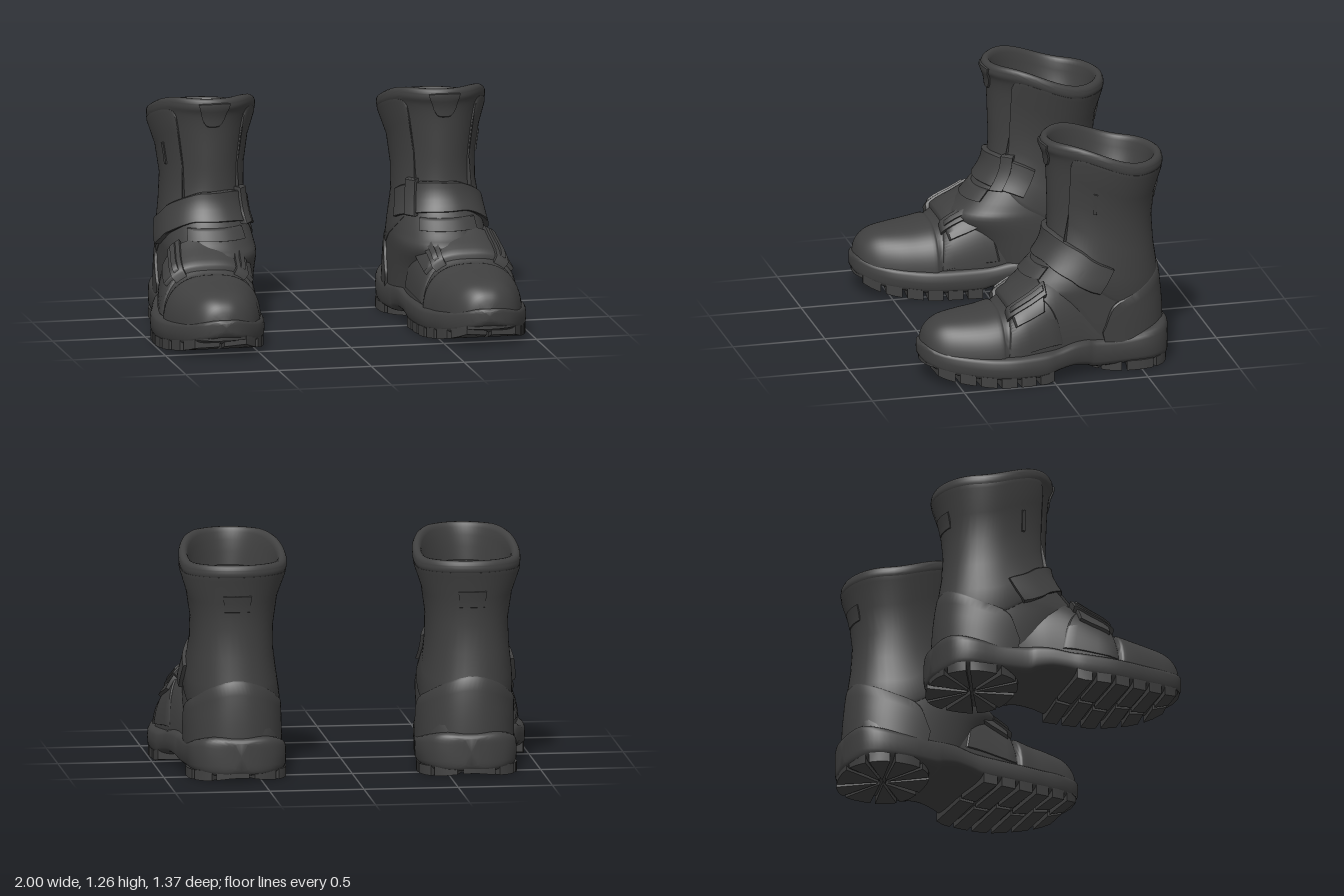
import * as THREE from 'three';
import { toCreasedNormals } from 'three/addons/utils/BufferGeometryUtils.js';

const RAD = Math.PI / 180;
const pow = (v, e) => Math.sign(v) * Math.abs(v) ** e;
const mix = (a, b, t) => a + (b - a) * t;
const smooth = (v, a, b) => THREE.MathUtils.smoothstep(v, a, b);

// Smooth curve through table rows, column by column
function spline(rows, sub) {
  const out = [], last = rows.length - 1;
  for (let i = 0; i < last; i++) {
    const a = rows[Math.max(i - 1, 0)], b = rows[i], c = rows[i + 1], d = rows[Math.min(i + 2, last)];
    for (let s = 0; s < sub; s++) {
      const t = s / sub;
      out.push(b.map((v, k) => {
        const cubic = 3 * (v - c[k]) + d[k] - a[k];
        const square = 2 * a[k] - 5 * v + 4 * c[k] - d[k];
        return v + 0.5 * t * (c[k] - a[k] + t * (square + t * cubic));
      }));
    }
  }
  out.push(rows[last]);
  return out;
}

// Row of a table at a value of its ascending first column
function lookup(table, v) {
  let i = 1;
  while (i < table.length - 1 && table[i][0] < v) i++;
  const a = table[i - 1], b = table[i];
  const t = THREE.MathUtils.clamp((v - a[0]) / (b[0] - a[0] || 1), 0, 1);
  return a.map((x, k) => mix(x, b[k], t));
}

// Closed solid through rings of points, mirrored by side and always facing out
function loft(rings, side, crease = 0.7) {
  const n = rings[0].length, pos = [], idx = [];
  rings.forEach(r => r.forEach(p => pos.push(p[0] * side, p[1], p[2])));
  for (let i = 0; i < rings.length - 1; i++) {
    for (let j = 0; j < n; j++) {
      const a = i * n + j, b = i * n + (j + 1) % n;
      idx.push(a, b, b + n, a, b + n, a + n);
    }
  }
  [0, rings.length - 1].forEach(i => {
    const mid = [0, 1, 2].map(k => rings[i].reduce((s, p) => s + p[k], 0) / n), m = pos.length / 3;
    pos.push(mid[0] * side, mid[1], mid[2]);
    for (let j = 0; j < n; j++) {
      const a = i * n + j, b = i * n + (j + 1) % n;
      idx.push(...(i ? [m, a, b] : [m, b, a]));
    }
  });
  let volume = 0;
  const P = k => new THREE.Vector3().fromArray(pos, k * 3);
  for (let i = 0; i < idx.length; i += 3) {
    volume += P(idx[i]).dot(P(idx[i + 1]).cross(P(idx[i + 2])));
  }
  if (volume < 0) idx.reverse();
  const g = new THREE.BufferGeometry();
  g.setAttribute('position', new THREE.Float32BufferAttribute(pos, 3));
  g.setIndex(idx);
  return toCreasedNormals(g, crease);
}

// Shaft: y, back z, front z, inner x, outer x
const shaftRows = spline([
  [0.12, -0.655, 0.00, 0.37, 0.86], [0.30, -0.65, 0.08, 0.37, 0.865], [0.42, -0.64, 0.17, 0.372, 0.865],
  [0.48, -0.632, 0.125, 0.38, 0.865], [0.55, -0.62, 0.06, 0.395, 0.855], [0.62, -0.61, 0.00, 0.41, 0.845],
  [0.70, -0.60, -0.04, 0.415, 0.835], [0.80, -0.598, -0.05, 0.415, 0.83], [0.90, -0.605, -0.047, 0.405, 0.842],
  [1.00, -0.628, -0.042, 0.38, 0.868], [1.06, -0.648, -0.032, 0.355, 0.89], [1.095, -0.665, -0.014, 0.338, 0.902],
  [1.125, -0.663, -0.014, 0.338, 0.902]], 4);

// Point on the shaft: angle from the front towards the outside, height, offset
function onShaft(a, y, off) {
  const [, zb, zf, xi, xo] = lookup(shaftRows, y), c = Math.cos(a), s = Math.sin(a);
  const up = smooth(y, 0.5, 0.9), e = 0.88 + 0.1 * up;
  const x = (xi + xo) / 2 + ((xo - xi) / 2 + off) * pow(s, e) * (1 - 0.12 * c * up);
  const z = (zb + zf) / 2 + ((zf - zb) / 2 + off) * pow(c, e);
  return [x, y + 0.11 * smooth(z, -0.52, -0.1) * smooth(y, 0.75, 1.1), z];
}

// Foot: z, centre x, half width, top y
const footRows = spline([
  [-0.655, 0.61, 0.08, 0.30], [-0.60, 0.61, 0.18, 0.38], [-0.45, 0.61, 0.235, 0.40], [-0.25, 0.63, 0.24, 0.45],
  [-0.12, 0.655, 0.245, 0.53], [0.00, 0.675, 0.255, 0.53], [0.10, 0.69, 0.26, 0.47], [0.18, 0.70, 0.262, 0.425],
  [0.25, 0.70, 0.257, 0.375], [0.275, 0.70, 0.264, 0.376], [0.35, 0.705, 0.25, 0.362], [0.45, 0.705, 0.225, 0.35],
  [0.55, 0.708, 0.187, 0.335], [0.61, 0.71, 0.147, 0.307], [0.648, 0.71, 0.10, 0.265], [0.667, 0.71, 0.03, 0.20]], 4);

// Point on the foot: angle from the outside over the top, z, offset
function onFoot(t, z, off) {
  const [, cx, hw, top] = lookup(footRows, z);
  return [cx + (hw + off) * pow(Math.cos(t), 0.78), 0.1 + (top - 0.1 + off) * pow(Math.sin(t), 0.78), z];
}

// Sole: z, inner x, outer x, bottom y, top y
const soleRows = spline([
  [-0.688, 0.57, 0.65, 0.06, 0.20], [-0.675, 0.485, 0.735, 0.035, 0.22], [-0.635, 0.41, 0.815, 0.025, 0.235],
  [-0.55, 0.36, 0.865, 0.022, 0.22], [-0.40, 0.345, 0.878, 0.022, 0.195], [-0.25, 0.362, 0.895, 0.022, 0.20],
  [-0.20, 0.372, 0.91, 0.04, 0.205], [-0.12, 0.385, 0.935, 0.055, 0.20], [-0.03, 0.395, 0.962, 0.045, 0.18],
  [0.05, 0.40, 0.985, 0.022, 0.175], [0.20, 0.41, 0.998, 0.022, 0.17], [0.31, 0.425, 0.985, 0.026, 0.17],
  [0.40, 0.45, 0.96, 0.035, 0.175], [0.50, 0.485, 0.925, 0.05, 0.185], [0.58, 0.535, 0.885, 0.07, 0.195],
  [0.635, 0.585, 0.84, 0.095, 0.205], [0.668, 0.635, 0.785, 0.12, 0.21], [0.682, 0.685, 0.735, 0.145, 0.195]], 4);

const circle = (n, fn) => Array.from({ length: n }, (_, j) => fn(j / n * Math.PI * 2));

export function createModel() {
  const model = new THREE.Group();
  const charcoal = new THREE.MeshStandardMaterial({ color: 0x404040 });
  charcoal.name = 'charcoal';

  [['leftBoot', 1], ['rightBoot', -1]].forEach(([name, side]) => {
    const boot = new THREE.Group();
    boot.name = name;
    model.add(boot);
    const add = (part, rings, crease) => {
      const mesh = new THREE.Mesh(loft(rings, side, crease), charcoal);
      mesh.name = part;
      boot.add(mesh);
    };
    // Raised patch on a surface; rows hold both edges: angle, place, angle, place
    const patch = (part, fn, rows, off, sub = 6) => {
      const steps = [0, 0.03, 0.2, 0.4, 0.6, 0.8, 0.97, 1];
      add(part, spline(rows, sub).map(([a, p, b, q]) => {
        const at = (v, o) => fn(mix(a, b, v) * RAD, mix(p, q, v), o);
        const outer = steps.map((v, i) => at(v, i % 7 ? off : off - 0.007));
        const inner = steps.map(v => at(v, -0.03)).reverse();
        return [...outer, ...inner];
      }));
    };
    const box = (a, b, p, q) => [0, 1, 2, 3].map(i => [mix(a, b, i / 3), p, mix(a, b, i / 3), q]);

    // Hollow shaft with a rolled rim and an inner floor
    const stations = [...shaftRows.map(r => [r[0], 0]), [1.138, -0.006], [1.146, -0.018], [1.146, -0.03],
      [1.138, -0.042], [1.12, -0.049], [1.08, -0.05], [1.03, -0.04], [0.98, -0.04]];
    add('shaft', stations.map(([y, off]) => circle(64, a => onShaft(a, y, off))), 0.9);

    // Foot with a toe cap step
    add('foot', footRows.map(r => Array.from({ length: 33 }, (_, j) => onFoot(j / 32 * Math.PI, r[0], 0))), 0.9);

    // Sole with a raised arch
    add('sole', soleRows.map(([z, xi, xo, yb, yt]) => circle(32, a => [
      (xi + xo) / 2 + (xo - xi) / 2 * pow(Math.cos(a), 0.4),
      (yb + yt) / 2 + (yt - yb) / 2 * pow(Math.sin(a), 0.45), z])), 0.9);

    // Tread blocks: flat polygon pushed down to the ground
    const lug = (part, pts) => add(part, [0.03, -0.025].map(dy => pts.map(([x, z]) =>
      [x, Math.max(0, lookup(soleRows, z)[3] + dy), z])), 0.3);
    for (let i = 0; i < 6; i++) {
      const z = 0.01 + i * 0.105, w = 0.08;
      [1, 2].forEach(edge => {
        const out = edge === 1 ? -1 : 1, skew = edge === 1 ? 0.025 : -0.01;
        const xAt = zz => lookup(soleRows, zz)[edge] - out * 0.004;
        const mid = 0.69 + out * 0.012 + (i % 2 ? 0.03 : -0.03), far = z + skew + w;
        lug('foreTread', [[mid, z], [xAt(z + skew), z + skew], [xAt(far - w / 2), far - w / 2], [xAt(far), far], [mid, z + w]]);
      });
    }
    for (let i = 0; i < 10; i++) {
      const at = (deg, r) => [0.612 + 0.264 * r * pow(Math.cos(deg * RAD), 0.8),
        Math.min(-0.225, -0.455 + 0.226 * r * pow(Math.sin(deg * RAD), 0.8))];
      const a = i * 36 + 12;
      lug('heelTread', [at(a + 15, 0.1), ...[0, 7.5, 15, 22.5, 30].map(d => at(a + d, 1))]);
    }

    // Heel counter and overlapping shaft panel
    patch('heelCounter', onShaft, [[88, 0.22, 88, 0.15], [100, 0.36, 98, 0.15], [125, 0.43, 125, 0.15],
      [155, 0.50, 155, 0.15], [180, 0.53, 180, 0.15], [205, 0.50, 205, 0.15], [235, 0.43, 235, 0.15],
      [260, 0.36, 262, 0.15], [272, 0.22, 272, 0.15]], 0.014);
    patch('shaftPanel', onShaft, [[48, 1.05, 44, 0.62], [56, 1.08, 52, 0.60], [90, 1.085, 90, 0.46], [115, 1.085, 115, 0.36],
      [180, 1.085, 180, 0.36], [245, 1.085, 245, 0.36], [270, 1.085, 270, 0.46], [304, 1.08, 308, 0.60],
      [312, 1.05, 316, 0.62]], 0.009, 8);

    // Small shaft details: tongue tab, side loop, back pull
    patch('tongueTab', onShaft, [[-19, 1.12, -14, 1.04], [-10, 1.125, -9, 1.015], [0, 1.125, 0, 1.01],
      [10, 1.125, 9, 1.015], [19, 1.12, 14, 1.04]], 0.009);
    patch('sideLoop', onShaft, box(74, 78, 0.945, 0.855), 0.017, 2);
    patch('backPull', onShaft, box(165, 195, 0.98, 0.89), 0.017, 3);

    // Ankle strap with its free end on the outside and buckle on the inside
    patch('ankleStrap', onShaft, [[98, 0.57, 93, 0.44], [80, 0.625, 78, 0.49], [62, 0.68, 64, 0.535], [25, 0.745, 28, 0.60],
      [0, 0.755, 0, 0.605], [-30, 0.755, -30, 0.60], [-60, 0.725, -60, 0.575], [-78, 0.69, -76, 0.55]], 0.028);
    patch('ankleBuckle', onShaft, box(-54, -40, 0.765, 0.58), 0.042, 2);

    // Instep strap, its two buckles and the tongue fold behind it
    patch('instepStrap', onFoot, [[36, 0.04, 36, 0.20], [50, 0.035, 50, 0.21], [70, 0.04, 70, 0.22], [90, 0.045, 90, 0.225],
      [110, 0.04, 110, 0.22], [130, 0.035, 130, 0.21], [144, 0.04, 144, 0.20]], 0.024);
    [58, 122].forEach(t => {
      patch('instepBuckle', onFoot, box(t - 8, t + 8, 0.02, 0.235), 0.036, 2);
      patch('instepBuckleBar', onFoot, box(t - 3, t + 3, 0.035, 0.22), 0.046, 2);
    });
    patch('tongueFold', onShaft, box(-36, 36, 0.575, 0.515), 0.014, 5);

    // Vamp panels on both sides of the foot
    [t => t, t => 180 - t].forEach(m => patch('vampPanel', onFoot,
      [[8, -0.06], [30, -0.02], [50, 0.04], [62, 0.09]].map(([t, z]) => [m(t), z, m(t), 0.245 - t * 0.0004]), 0.007));
  });
  return model;
}
